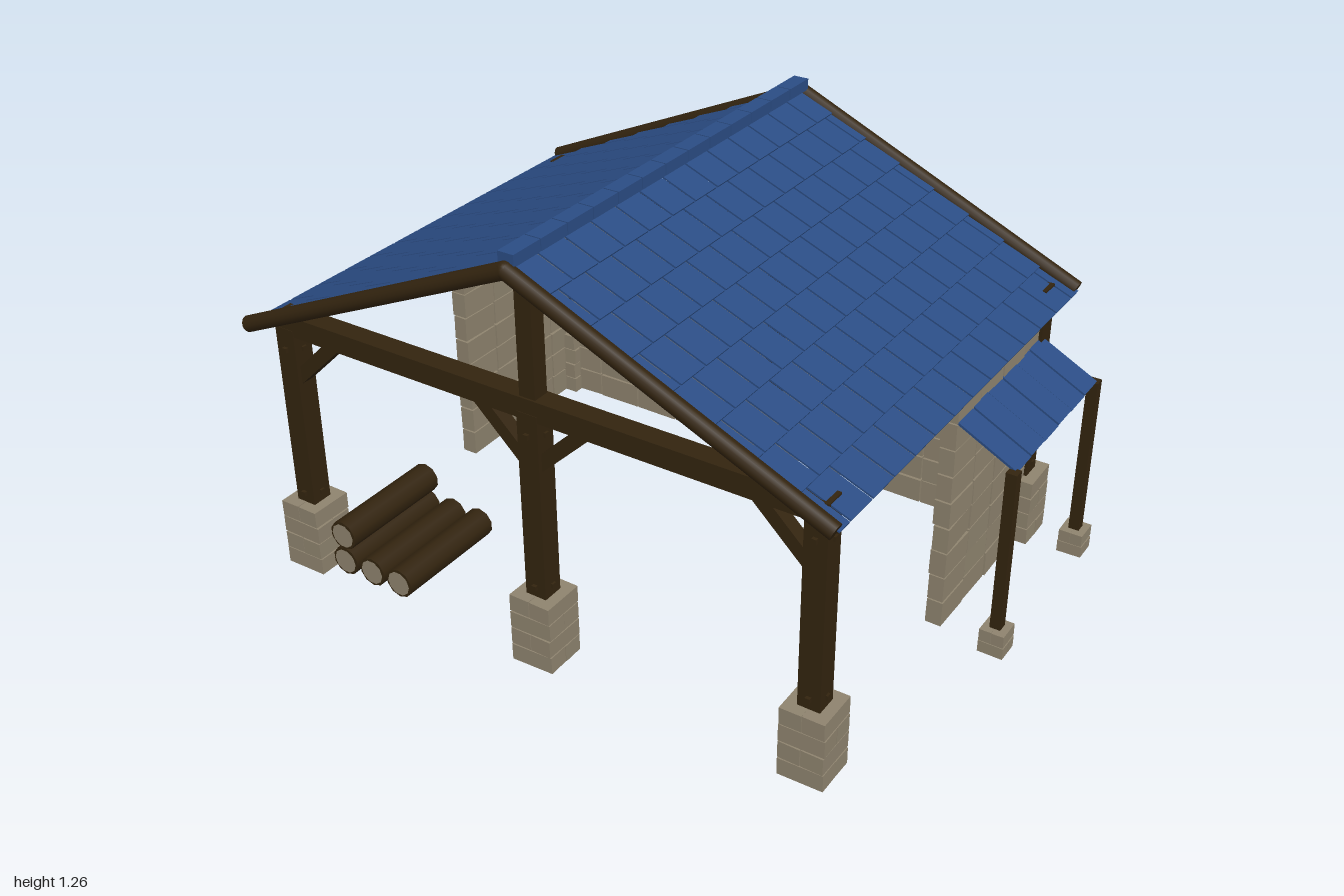
import * as THREE from 'three';

const CX = -0.073;                       // centre line of the main shelter
const POST_X = [-0.91, CX, 0.765];
const POST_Z = 0.63;

export function createModel() {
  const root = new THREE.Group();
  const wood = new THREE.MeshStandardMaterial({ name: 'dark wood', color: 0x33240f });
  const stone = new THREE.MeshStandardMaterial({ name: 'stone', color: 0x8f846f });
  const slate = new THREE.MeshStandardMaterial({ name: 'blue shingle', color: 0x2b4d85 });

  let seed = 7;
  const jitter = (a) => {
    seed = (seed * 16807) % 2147483647;
    return (seed / 2147483647 - 0.5) * 2 * a;
  };

  const group = (name, parent = root) => {
    const g = new THREE.Group();
    g.name = name;
    parent.add(g);
    return g;
  };
  const box = (parent, name, mat, w, h, d, x, y, z) => {
    const m = new THREE.Mesh(new THREE.BoxGeometry(w, h, d), mat);
    m.name = name;
    m.position.set(x, y, z);
    parent.add(m);
    return m;
  };
  // Straight timber between two points in a plane of constant z
  const timber = (parent, name, x1, y1, x2, y2, z, size, depth = size) => {
    const m = box(parent, name, wood, Math.hypot(x2 - x1, y2 - y1), size, depth, (x1 + x2) / 2, (y1 + y2) / 2, z);
    m.rotation.z = Math.atan2(y2 - y1, x2 - x1);
    return m;
  };

  // Stone footings: stacked layers of paired blocks, alternating direction
  const footing = (parent, x, z, size, height, layers) => {
    const g = group('stoneFooting', parent);
    const h = height / layers;
    for (let i = 0; i < layers; i++) {
      for (const s of [-1, 1]) {
        const alongX = i % 2 === 0;
        const off = s * size / 4, w = size / 2 - 0.002;
        const b = box(g, 'footingBlock', stone, alongX ? size : w, h - 0.004, alongX ? w : size,
          x + (alongX ? 0 : off), h * (i + 0.5), z + (alongX ? off : 0));
        b.rotation.set(jitter(0.015), jitter(0.02), jitter(0.02));
      }
    }
    box(g, 'footingCore', stone, size * 0.9, height - 0.006, size * 0.9, x, height / 2, z);
  };

  // Front and back timber frames
  for (const side of [1, -1]) {
    const frame = group(side > 0 ? 'frontFrame' : 'backFrame');
    const z = side * POST_Z;
    POST_X.forEach((x, i) => {
      footing(frame, x, z, 0.132, 0.22, 4);
      box(frame, 'post', wood, 0.065, 0.58, 0.065, x, 0.5, z);
      for (const y of [0.25, 0.725]) {
        box(frame, 'crossPeg', wood, 0.078, 0.014, 0.014, x, y, z);
        box(frame, 'throughPeg', wood, 0.014, 0.014, 0.085, x, y, z);
      }
      // Knee braces towards the open bays
      for (const s of [-1, 1]) {
        if ((i === 0 && s < 0) || (i === 2 && s > 0)) continue;
        timber(frame, 'kneeBrace', x + s * 0.015, 0.63, x + s * 0.175, 0.785, z, 0.04);
      }
    });
    timber(frame, 'tieBeam', -0.94, 0.802, 0.795, 0.802, z, 0.062);
    timber(frame, 'kingPost', CX, 0.82, CX, 1.2, z, 0.05);
    // Round gable rafters
    for (const s of [-1, 1]) {
      const dx = s * 0.915, dy = -0.41;
      const r = new THREE.Mesh(new THREE.CylinderGeometry(0.024, 0.024, Math.hypot(dx, dy), 12), wood);
      r.name = 'gableRafter';
      r.position.set(CX + dx / 2, 1.216 + dy / 2, side * 0.713);
      r.rotation.z = Math.atan2(-dx, dy);
      frame.add(r);
    }
    const apex = new THREE.Mesh(new THREE.SphereGeometry(0.024, 12, 8), wood);
    apex.name = 'rafterJoint';
    apex.position.set(CX, 1.216, side * 0.713);
    frame.add(apex);
  }

  // Long crossed braces outside the back wall
  const cross = group('backCrossBracing');
  timber(cross, 'crossBrace', -0.9, 0.25, 0.755, 0.76, -0.664, 0.042, 0.034);
  timber(cross, 'crossBrace', -0.9, 0.76, 0.755, 0.25, -0.664, 0.042, 0.034);

  // Block walls, laid in local x and then turned into place
  const wall = (name, length, cols) => {
    const g = group(name);
    const w = length / cols, h = 0.75 / 9;
    for (let r = 0; r < 9; r++) {
      for (let c = 0; c < cols; c++) {
        const b = box(g, 'wallBlock', stone, w - 0.005, h - 0.005, 0.048 + jitter(0.003),
          -length / 2 + w * (c + 0.5), h * (r + 0.5), 0);
        b.rotation.set(jitter(0.02), jitter(0.02), jitter(0.015));
      }
    }
    return g;
  };
  wall('backWall', 1.675, 11).position.set(CX, 0, -0.622);
  for (const x of [POST_X[0], POST_X[2]]) {
    const w = wall('sideWall', 0.575, 4);
    w.position.set(x, 0, -0.35);
    w.rotation.y = Math.PI / 2;
  }

  // Main roof: staggered, overlapping shingles on two slopes
  const HALF = 0.71, N = 13, ROWS = 8;
  const pitch = Math.atan2(0.425, 0.92), step = Math.hypot(0.425, 0.92) / ROWS;
  const tileW = 2 * HALF / N, overlap = 0.03;
  for (const s of [-1, 1]) {
    const slope = group(s > 0 ? 'leftRoofSlope' : 'rightRoofSlope');
    slope.position.set(CX, 1.225, 0);
    slope.rotation.z = -s * pitch;
    for (let r = 0; r < ROWS; r++) {
      const top = r ? r * step - overlap : 0, bottom = (r + 1) * step;
      const shift = r % 2 ? tileW / 2 : 0;
      for (let k = 0; k <= N; k++) {
        const z0 = Math.max(-HALF, -HALF + k * tileW - shift);
        const z1 = Math.min(HALF, -HALF + (k + 1) * tileW - shift);
        if (z1 - z0 < 0.01) continue;
        const t = box(slope, 'shingle', slate, bottom - top, 0.005, z1 - z0 - 0.007,
          s * (top + bottom) / 2, 0, (z0 + z1) / 2);
        t.rotation.z = s * 0.045;
      }
    }
  }
  // Ridge caps
  const ridge = group('roofRidge');
  for (let k = 0; k < N; k++) {
    box(ridge, 'ridgeCap', slate, 0.048, 0.034, tileW - 0.004, CX, 1.243, -HALF + (k + 0.5) * tileW);
  }

  // Small lean-to canopy on the left wall
  const leanTo = group('leanTo');
  for (const z of [-0.06, -0.625]) {
    footing(leanTo, 0.957, z, 0.075, 0.08, 2);
    box(leanTo, 'leanToPost', wood, 0.032, 0.505, 0.032, 0.957, 0.332, z);
  }
  for (let k = 0; k < 6; k++) {
    const t = box(leanTo, 'canopyShingle', slate, 0.222, 0.007, 0.089, 0.865, 0.63 + (k % 2) * 0.003, -0.112 - k * 0.0935);
    t.rotation.z = -Math.atan2(0.1, 0.19);
  }

  // Log pile with pale cut faces at the front
  const pile = group('logPile');
  for (const [x, y] of [[-0.78, 0.056], [-0.678, 0.056], [-0.577, 0.056], [-0.78, 0.145]]) {
    const log = new THREE.Mesh(new THREE.CylinderGeometry(0.046, 0.046, 0.37, 10), wood);
    log.name = 'log';
    log.position.set(x, y, 0.475);
    log.rotation.x = Math.PI / 2;
    const cut = new THREE.Mesh(new THREE.CircleGeometry(0.039, 10), stone);
    cut.name = 'cutLogFace';
    cut.position.set(x, y, 0.662);
    pile.add(log, cut);
  }
  return root;
}
